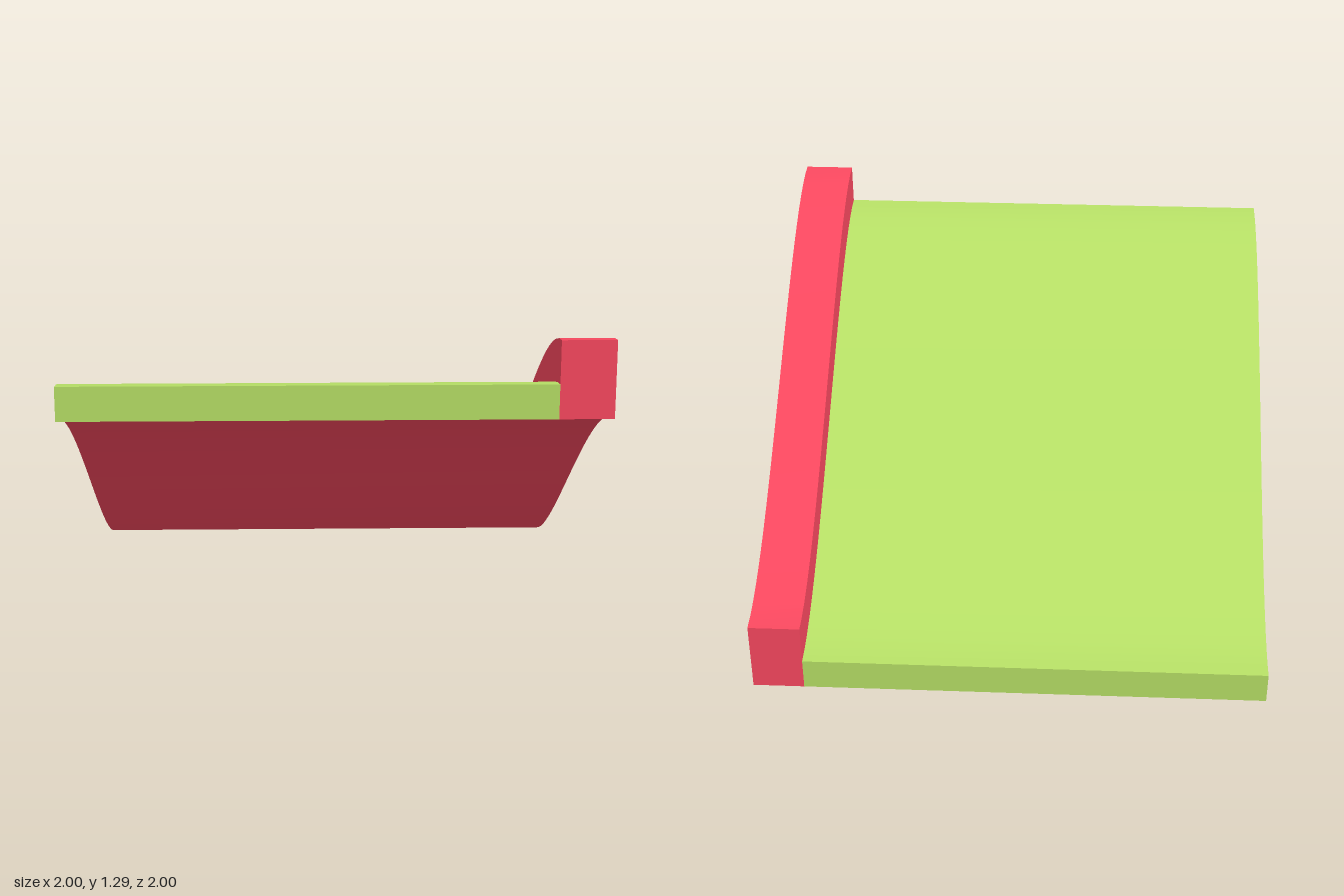
import * as THREE from 'three';
import { toCreasedNormals } from 'three/addons/utils/BufferGeometryUtils.js';

const SEGMENTS = 24;
const RED = 0xf9485f;
const GREEN = 0xb7e066;
const SKIN = 0.002; // lift of the solid parts above the underside sheet

// S-shaped slope, u = -z: high at the front, low at the back
const slope = new THREE.CubicBezierCurve(
  new THREE.Vector2(-1, 1),
  new THREE.Vector2(-0.5, 1),
  new THREE.Vector2(0.5, 0),
  new THREE.Vector2(1, 0)
).getPoints(SEGMENTS);

function part(name, geometry, color) {
  const mesh = new THREE.Mesh(toCreasedNormals(geometry, 0.6), new THREE.MeshStandardMaterial({ color }));
  mesh.name = name;
  return mesh;
}

// Solid strip following the slope, from x0 to x1, with constant upright thickness
function strip(x0, x1, thickness) {
  const lower = slope.map((p) => new THREE.Vector2(p.x, p.y + SKIN));
  const upper = slope.map((p) => new THREE.Vector2(p.x, p.y + thickness)).reverse();
  const geometry = new THREE.ExtrudeGeometry(new THREE.Shape([...lower, ...upper]), {
    depth: x1 - x0,
    bevelEnabled: false,
  });
  return geometry.rotateY(Math.PI / 2).translate(x0, 0, 0);
}

// Downward-facing sheet bent to the slope, its rows running from front to back
function undersideSheet() {
  const geometry = new THREE.PlaneGeometry(2, 2, 1, SEGMENTS).rotateX(Math.PI / 2);
  const pos = geometry.attributes.position;
  for (let i = 0; i < pos.count; i++) {
    const p = slope[Math.floor(i / 2)];
    pos.setY(i, p.y);
    pos.setZ(i, -p.x);
  }
  return geometry;
}

export function createModel() {
  const model = new THREE.Group();
  model.name = 'slopedTrackPiece';
  model.add(
    part('deck', strip(-1, 0.8, 0.13), GREEN),
    part('sideRail', strip(0.8, 1, 0.29), RED),
    part('underside', undersideSheet(), RED)
  );
  return model;
}
